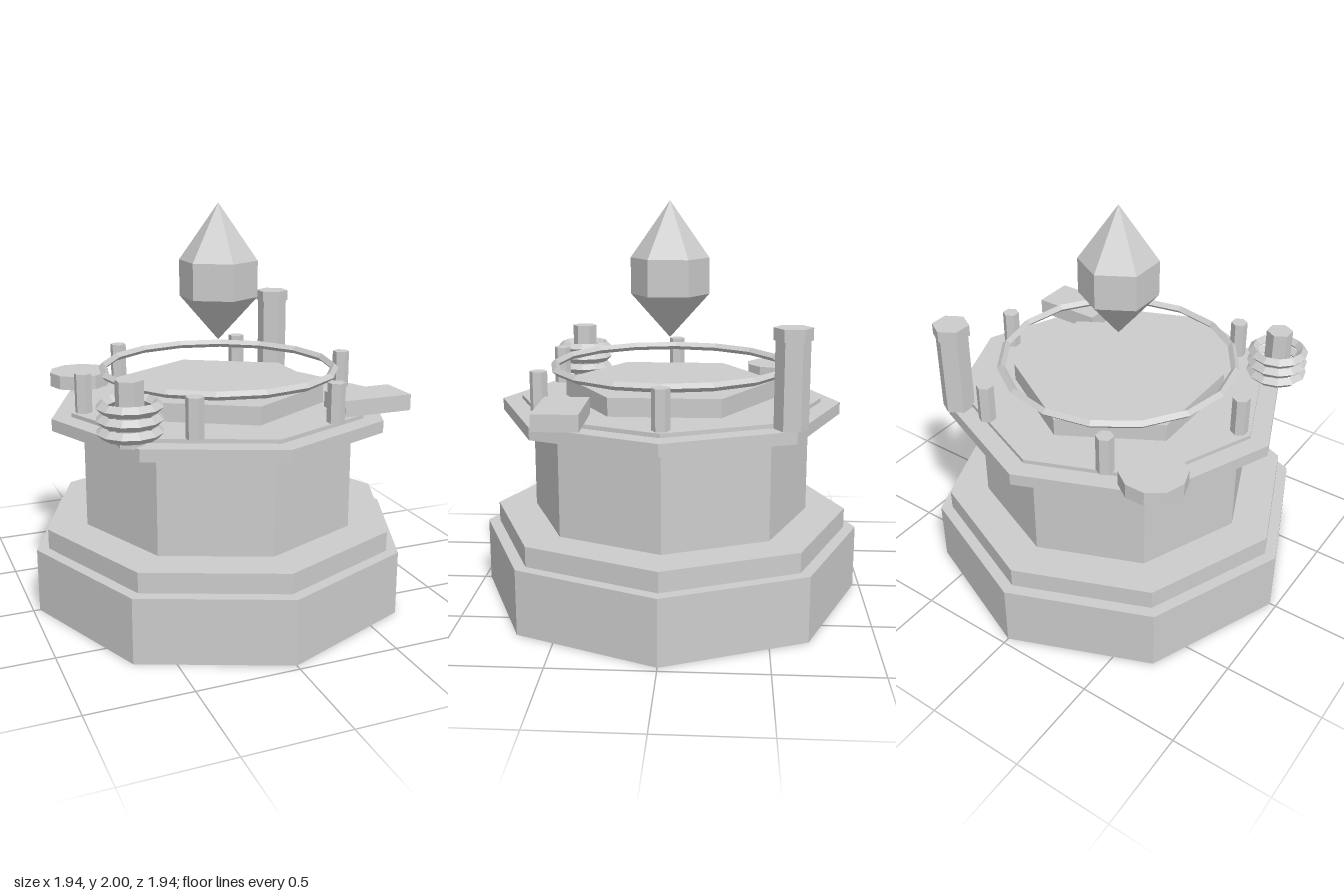
import * as THREE from 'three';

export function createModel() {
  const model = new THREE.Group();
  model.name = 'crystalPedestal';
  const stone = new THREE.MeshStandardMaterial({ color: 0xcccccc, flatShading: true });
  stone.name = 'paleGreyStone';

  const add = (name, geometry, x, y, z, parent = model) => {
    const mesh = new THREE.Mesh(geometry, stone);
    mesh.name = name;
    mesh.position.set(x, y, z);
    parent.add(mesh);
    return mesh;
  };
  // Upright prism given by its bottom and top heights
  const prism = (name, radius, sides, y0, y1, x = 0, z = 0, parent = model) =>
    add(name, new THREE.CylinderGeometry(radius, radius, y1 - y0, sides), x, (y0 + y1) / 2, z, parent);
  // Horizontal ring with a diamond cross-section
  const ring = (name, radius, tube, segments, x, y, z, parent = model) =>
    add(name, new THREE.TorusGeometry(radius, tube, 4, segments).rotateX(-Math.PI / 2), x, y, z, parent);

  // Octagonal pedestal
  prism('base', 0.968, 8, 0, 0.325);
  prism('baseStep', 0.908, 8, 0.325, 0.425);
  prism('column', 0.708, 8, 0.425, 0.932);
  prism('tableSlab', 0.866, 8, 0.932, 0.992);
  prism('tablePlate', 0.767, 8, 0.992, 1.012);

  // Hexagonal dais and the ring around it
  prism('dais', 0.535, 6, 1.012, 1.103);
  ring('guardRing', 0.59, 0.021, 16, 0, 1.178, 0);

  // Six small posts
  const posts = new THREE.Group();
  posts.name = 'posts';
  model.add(posts);
  for (let i = 0; i < 6; i++) {
    const a = (i * Math.PI) / 3;
    prism('post', 0.043, 6, 1.012, 1.205, Math.cos(a) * 0.705, Math.sin(a) * 0.705, posts);
  }

  // Floating crystal
  const profile = [[0, 1.32], [0.197, 1.54], [0.197, 1.72], [0, 2]].map(([r, y]) => new THREE.Vector2(r, y));
  add('crystal', new THREE.LatheGeometry(profile, 6), 0, 0, 0);

  // Coil on a rod, front right corner
  const coil = new THREE.Group();
  coil.name = 'coil';
  coil.position.set(-0.626, 0, 0.525);
  model.add(coil);
  prism('coilRod', 0.066, 6, 0.985, 1.287, 0, 0, coil);
  for (const y of [1.052, 1.11, 1.168]) ring('coilRing', 0.126, 0.027, 12, 0, y, 0, coil);

  // Capped tower, back left corner
  prism('towerShaft', 0.08, 6, 0.992, 1.4, 0.565, -0.585);
  prism('towerCap', 0.09, 6, 1.4, 1.457, 0.565, -0.585);

  // Round tray, back right corner
  prism('tray', 0.16, 10, 1.012, 1.085, -0.586, -0.566).rotation.y = Math.PI / 10;

  // Flat block, front left corner
  add('block', new THREE.BoxGeometry(0.36, 0.08, 0.216), 0.605, 1.056, 0.463);

  return model;
}
